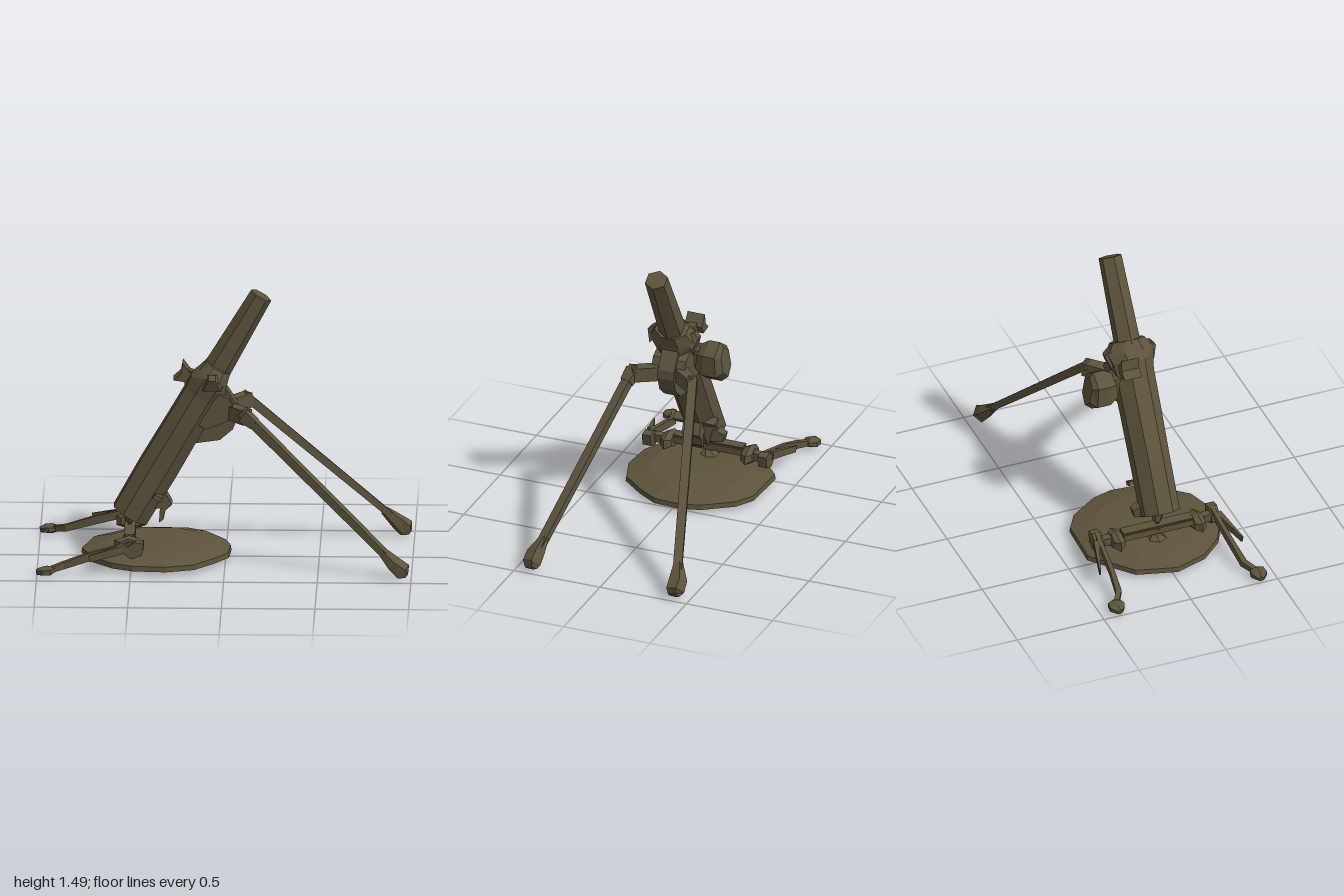
import * as THREE from 'three';

const olive = new THREE.MeshStandardMaterial({ color: 0x5d533c });
olive.name = 'olive drab';

// Joins cross-section rings into a closed, faceted skin
function skin(rings) {
  const pos = [], n = rings[0].length;
  const tri = (...p) => p.forEach(q => pos.push(q.x, q.y, q.z));
  const mid = r => r.reduce((s, p) => s.add(p), new THREE.Vector3()).divideScalar(n);
  const first = rings[0], last = rings[rings.length - 1];
  const m0 = mid(first), m1 = mid(last);
  for (let k = 0; k < n; k++) {
    const j = (k + 1) % n;
    for (let i = 0; i + 1 < rings.length; i++) {
      const a = rings[i], b = rings[i + 1];
      tri(a[k], a[j], b[j]);
      tri(a[k], b[j], b[k]);
    }
    tri(m0, first[j], first[k]);
    tri(m1, last[k], last[j]);
  }
  const g = new THREE.BufferGeometry();
  g.setAttribute('position', new THREE.Float32BufferAttribute(pos, 3));
  g.computeVertexNormals();
  return g;
}

// Sweeps an n-sided section along stations [x, y, z, halfWidth, halfHeight]
function sweep(stations, n = 4) {
  const up = new THREE.Vector3(0, 1, 0);
  const pts = stations.map(s => new THREE.Vector3(s[0], s[1], s[2]));
  return skin(stations.map((s, i) => {
    const t = pts[Math.min(i + 1, pts.length - 1)].clone().sub(pts[Math.max(i - 1, 0)]).normalize();
    const u = t.clone().cross(up);
    if (u.length() < 0.01) u.set(0, 0, 1);
    u.normalize();
    const v = t.clone().cross(u), fit = 1 / Math.cos(Math.PI / n);
    return Array.from({ length: n }, (_, k) => {
      const a = (k + 0.5) * 2 * Math.PI / n;
      return pts[i].clone()
        .addScaledVector(u, Math.cos(a) * s[3] * fit)
        .addScaledVector(v, Math.sin(a) * (s[4] ?? s[3]) * fit);
    });
  }));
}

// Extrudes an x-y outline between two z values
function slab(outline, z0, z1) {
  const shape = new THREE.Shape(outline.map(p => new THREE.Vector2(...p)));
  const g = new THREE.ExtrudeGeometry(shape, { depth: z1 - z0, bevelEnabled: false });
  return g.translate(0, 0, z0);
}

export function createModel() {
  const model = new THREE.Group();
  model.name = 'mortar';
  const add = (name, geometry) => {
    const g = geometry.index ? geometry.toNonIndexed() : geometry;
    g.computeVertexNormals();
    const mesh = new THREE.Mesh(g, olive);
    mesh.name = name;
    model.add(mesh);
    return mesh;
  };
  const box = (name, x, y, z, w, h, d, tilt = 0) => {
    const m = add(name, new THREE.BoxGeometry(w, h, d));
    m.position.set(x, y, z);
    m.rotation.z = tilt;
    return m;
  };

  // Station on the tilted barrel axis at distance s
  const axis = (s, w, h = w, z = 0.02) => [-0.51 + 0.498 * s, 0.235 + 0.867 * s, z, w, h];
  const tilt = -0.521;

  add('barrelSleeve', sweep([axis(0, 0.1), axis(0.3, 0.1, 0.105), axis(0.65, 0.105, 0.1), axis(0.85, 0.105, 0.1)], 8));
  add('barrelCollar', sweep([axis(0.77, 0.105, 0.1), axis(0.84, 0.115, 0.105), axis(0.89, 0.13, 0.085), axis(0.95, 0.09, 0.07)], 8));
  add('barrelTube', sweep([axis(0.8, 0.064, 0.07), axis(1.406, 0.055, 0.053, 0.015)], 6));

  // Collar lugs
  for (const s of [-1, 1])
    add('collarLug', sweep([[-0.07, 0.99, 0.02 + s * 0.09, 0.05], [-0.07, 1.03, 0.02 + s * 0.135, 0.018]], 4));

  // Bipod bracket in front of the barrel
  add('bracket', slab([[-0.24, 0.72], [-0.17, 0.64], [-0.03, 0.66], [0.04, 0.72], [0.07, 0.8],
    [0.065, 0.85], [0.02, 0.92], [-0.03, 0.99], [-0.12, 0.95]], -0.035, 0.06));
  add('bracketCheek', slab([[-0.2, 0.78], [-0.1, 0.73], [0.0, 0.77], [0.06, 0.82], [0.02, 0.9], [-0.08, 0.95]], -0.085, 0.105));

  // Sight housing on the right-hand side, and the knob behind the collar
  add('sightMount', sweep([[-0.13, 0.88, 0, 0.05], [-0.14, 0.87, -0.13, 0.045]], 4));
  add('sightHousing', sweep([[-0.14, 0.86, -0.1, 0.06, 0.07], [-0.14, 0.855, -0.15, 0.085, 0.1],
    [-0.14, 0.855, -0.22, 0.085, 0.1], [-0.14, 0.86, -0.25, 0.055, 0.075]], 6));
  add('rearKnobStem', sweep([[-0.23, 1.01, -0.04, 0.025], [-0.11, 0.97, -0.02, 0.03]], 4));
  add('rearKnob', slab([[-0.28, 0.975], [-0.21, 0.965], [-0.185, 1.01], [-0.23, 1.07], [-0.24, 1.01]], -0.09, 0.01));

  // Bipod: arms, legs and feet
  for (const s of [-1, 1]) {
    const top = s > 0 ? 0.19 : -0.165;
    add('bipodArm', sweep([[0.0, 0.82, s * 0.04, 0.04, 0.04], [0.05, 0.82, s * 0.09, 0.032, 0.04],
      [0.12, 0.825, top, 0.03, 0.04]], 4));
    add('bipodLeg', sweep([[0.09, 0.855, top - s * 0.01, 0.024, 0.024], [0.89, 0.1, s * 0.4, 0.024, 0.018]], 4));
    add('bipodFoot', sweep([[0.84, 0.145, s * 0.385, 0.022, 0.02], [0.91, 0.075, s * 0.41, 0.043, 0.035],
      [0.955, 0.035, s * 0.415, 0.042, 0.042], [0.975, 0.02, s * 0.415, 0.03, 0.015]], 5));
  }
  // Small clamp on one leg
  add('legClamp', sweep([[0.1, 0.835, 0.185, 0.032, 0.035], [0.16, 0.79, 0.2, 0.03, 0.025]], 4));

  // Round base plate, irregular outline [x, z]
  const rim = [[-0.71, 0.2], [-0.6, 0.32], [-0.49, 0.375], [-0.31, 0.39], [-0.16, 0.34], [-0.05, 0.21],
    [0.02, 0.1], [0.03, -0.05], [0.0, -0.16], [-0.11, -0.32], [-0.21, -0.38], [-0.49, -0.39], [-0.71, -0.2], [-0.77, 0.02]];
  const ring = (y, k) => rim.map(([x, z]) => new THREE.Vector3(-0.37 + (x + 0.37) * k, y, z * k));
  add('basePlate', skin([ring(0.018, 1), ring(0.045, 0.99), ring(0.078, 0.68), ring(0.085, 0.35)]));

  // Ball joint between plate and barrel
  add('ballPost', sweep([[-0.51, 0.08, 0, 0.05], [-0.51, 0.15, 0, 0.03], [-0.515, 0.19, 0, 0.018], [-0.5, 0.25, 0.01, 0.035]], 6));

  // Cross shaft and hinge blocks on the plate
  add('crossShaft', sweep([[-0.51, 0.14, -0.2, 0.03, 0.018], [-0.51, 0.14, 0.2, 0.03, 0.018]], 4));
  box('crossStrip', -0.51, 0.168, 0, 0.06, 0.008, 0.4);
  for (const s of [-1, 1]) {
    add('hingeBlock', sweep([[-0.51, 0.13, s * 0.2, 0.055, 0.03], [-0.51, 0.125, s * 0.235, 0.08, 0.045],
      [-0.51, 0.13, s * 0.265, 0.05, 0.03]], 6));
    add('hingePin', sweep([[-0.5, 0.13, s * 0.25, 0.022], [-0.5, 0.13, s * 0.34, 0.022]], 4));
    add('hingeEnd', slab([[-0.55, 0.12], [-0.5, 0.08], [-0.44, 0.1], [-0.43, 0.165], [-0.48, 0.175]], s * 0.335 - 0.025, s * 0.335 + 0.025));

    // Rear spade arm, its side blade and foot
    add('spadeArm', sweep([[-0.47, 0.155, s * 0.33, 0.012, 0.022], [-0.72, 0.09, s * 0.345, 0.012, 0.022],
      [-0.86, 0.045, s * 0.36, 0.016, 0.018], [-0.93, 0.03, s * 0.4, 0.014, 0.014]], 4));
    add('spadeBlade', sweep([[-0.52, 0.14, s * 0.35, 0.016, 0.022], [-0.72, 0.095, s * 0.41, 0.004, 0.018]], 4));
    add('spadeFoot', sweep([[-0.91, 0.03, s * 0.39, 0.02, 0.014], [-0.94, 0.028, s * 0.405, 0.044, 0.024],
      [-0.97, 0.026, s * 0.41, 0.04, 0.022], [-1.0, 0.02, s * 0.405, 0.016, 0.014]], 6));
  }

  // Fittings near the breech
  add('breechHook', slab([[-0.42, 0.34], [-0.36, 0.39], [-0.33, 0.38], [-0.285, 0.3], [-0.32, 0.27],
    [-0.33, 0.22], [-0.355, 0.2], [-0.35, 0.28], [-0.4, 0.28]], -0.03, 0.07));
  box('breechTab', -0.36, 0.355, 0.105, 0.05, 0.025, 0.07, tilt);
  box('breechTab', -0.36, 0.36, -0.07, 0.05, 0.025, 0.07, tilt);
  add('breechLatch', sweep([[-0.45, 0.25, -0.05, 0.04], [-0.45, 0.235, -0.115, 0.022]], 4));

  return model;
}
